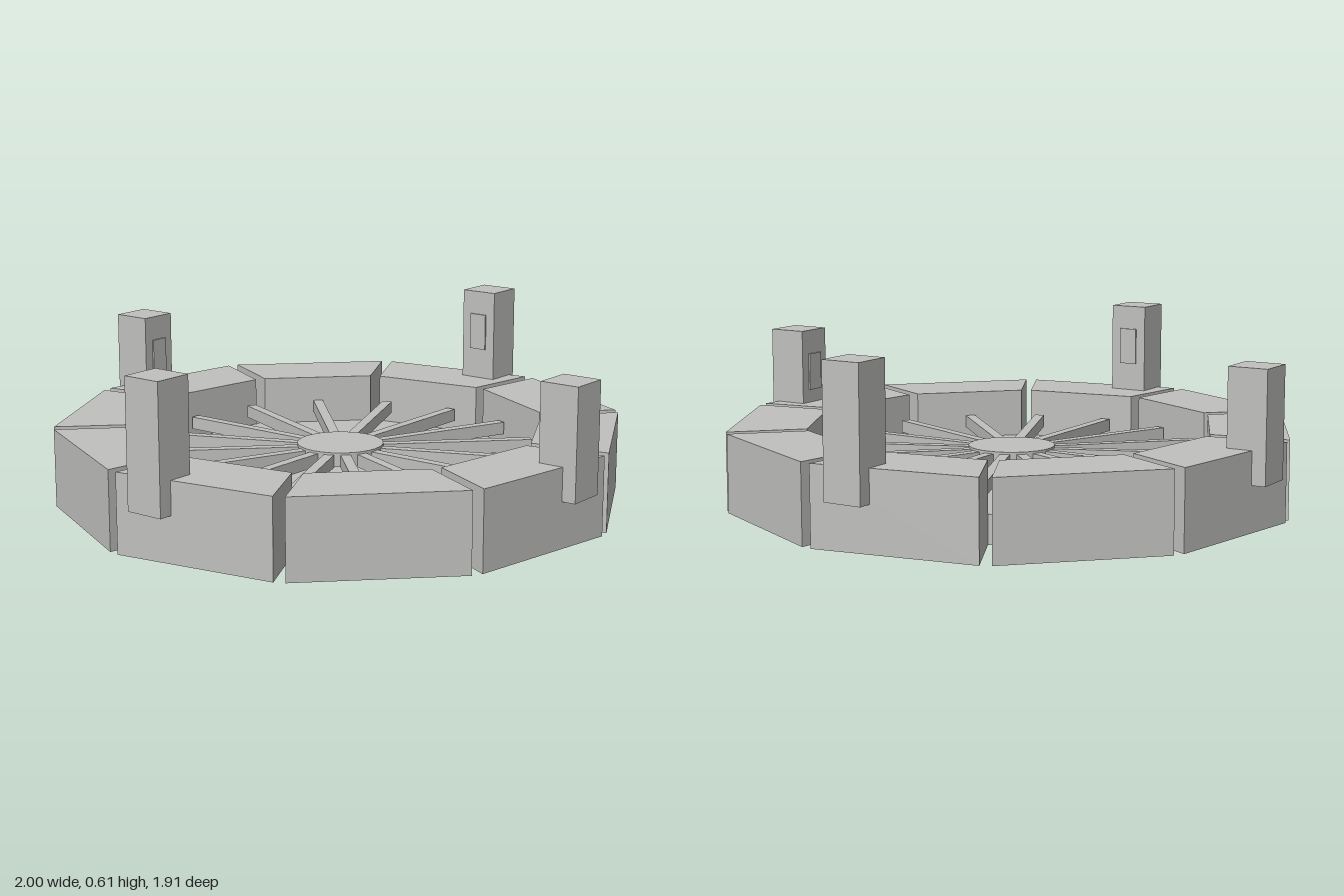
import * as THREE from 'three';

export function createModel() {
  const model = new THREE.Group();
  const stone = new THREE.MeshStandardMaterial({ color: 0xc0c0be });
  stone.name = 'grey stone';

  const add = (geometry, name, parent = model) => {
    const mesh = new THREE.Mesh(geometry, stone);
    mesh.name = name;
    parent.add(mesh);
    return mesh;
  };

  // Ten-sided floor slab, corners in line with the gaps between wall blocks
  const floor = new THREE.CylinderGeometry(0.725, 0.725, 0.1, 10).toNonIndexed();
  floor.computeVertexNormals();
  floor.rotateY(Math.PI / 10).translate(0, 0.05, 0);
  add(floor, 'floor');

  // Ring of ten tapered wall blocks
  const trapezoid = new THREE.Shape([
    new THREE.Vector2(-0.205, 0.69),
    new THREE.Vector2(0.205, 0.69),
    new THREE.Vector2(0.29, 0.955),
    new THREE.Vector2(-0.29, 0.955),
  ]);
  const wallHeight = 0.275;
  const block = new THREE.ExtrudeGeometry(trapezoid, { depth: wallHeight, bevelEnabled: false });
  block.rotateX(Math.PI / 2).translate(0, wallHeight, 0);
  for (let i = 0; i < 10; i++) {
    add(block, 'wallBlock').rotation.y = (i * Math.PI) / 5;
  }

  // Raised hub with sixteen spokes
  add(new THREE.CylinderGeometry(0.152, 0.152, 0.05, 32).translate(0, 0.168, 0), 'hub');
  const spoke = new THREE.BoxGeometry(0.036, 0.045, 0.59).translate(0, 0.1625, 0.39);
  for (let i = 0; i < 16; i++) {
    add(spoke, 'spoke').rotation.y = (i * Math.PI) / 8;
  }

  // Four corner posts of differing height, each with a panel facing the hub
  const postBase = 0.16;
  const postTops = [0.545, 0.61, 0.545, 0.6];
  postTops.forEach((top, i) => {
    const post = new THREE.Group();
    post.name = 'post';
    post.rotation.y = Math.PI / 4 + (i * Math.PI) / 2;
    const height = top - postBase;
    add(new THREE.BoxGeometry(0.14, height, 0.14).translate(0, postBase + height / 2, 0.935), 'postShaft', post);
    add(new THREE.BoxGeometry(0.068, 0.135, 0.008).translate(0, top - 0.155, 0.863), 'postPanel', post);
    model.add(post);
  });

  return model;
}
